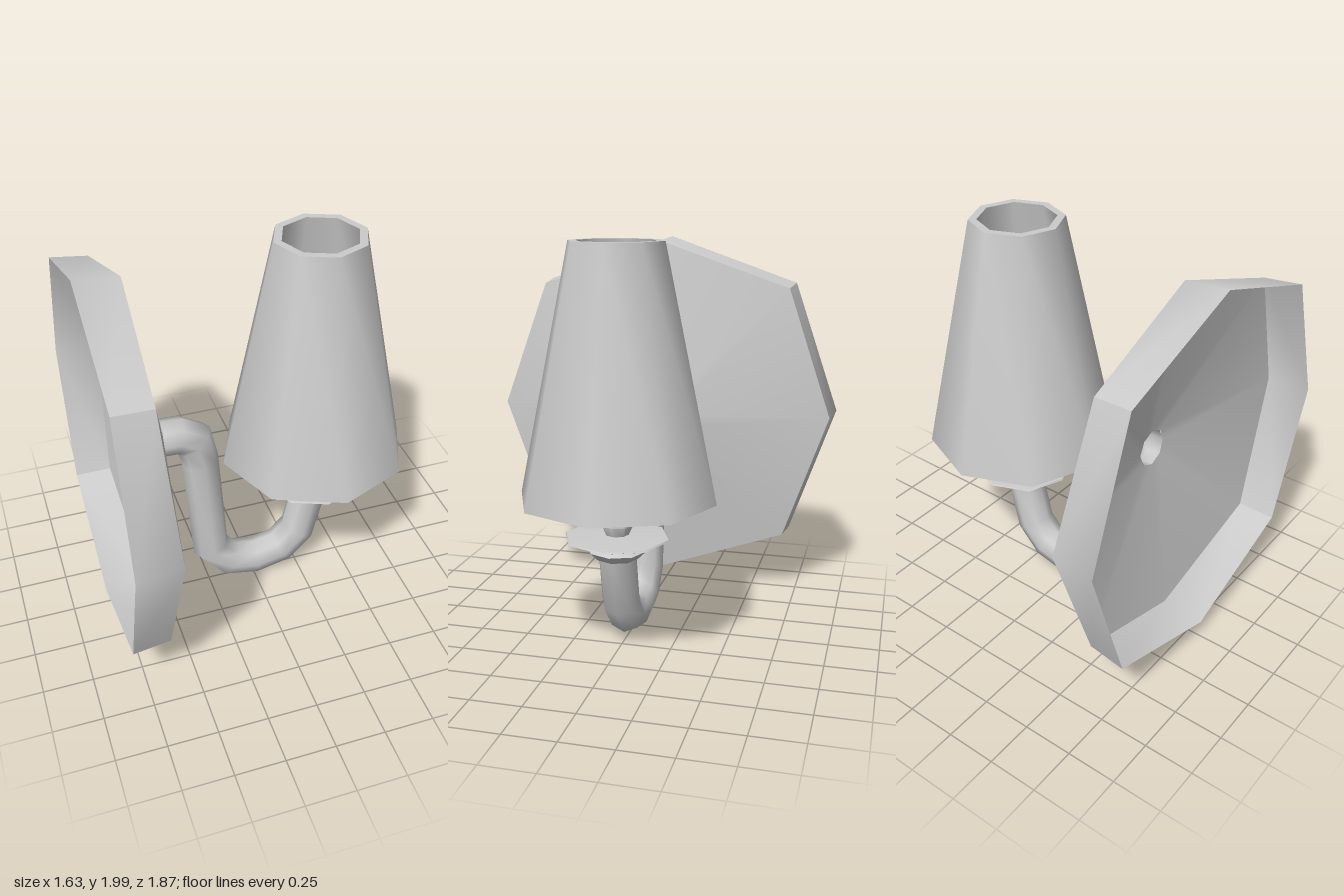
import * as THREE from 'three';
import { toCreasedNormals } from 'three/addons/utils/BufferGeometryUtils.js';

const SIDES = 8;
const LAMP_X = 0.33;
const material = new THREE.MeshStandardMaterial({ color: 0xcccccc, side: THREE.DoubleSide });

function part(name, geometry) {
  const mesh = new THREE.Mesh(geometry, material);
  mesh.name = name;
  return mesh;
}

function lathe(profile) {
  return new THREE.LatheGeometry(profile.map(([r, y]) => new THREE.Vector2(r, y)), SIDES);
}

// Turned part standing on the lamp axis
function turned(name, profile) {
  const mesh = part(name, toCreasedNormals(lathe(profile), 0.85));
  mesh.position.x = LAMP_X;
  return mesh;
}

// Hollow dished plate: side wall and shallow cone, open at the back and the centre
function wallPlate() {
  const geometry = lathe([[0.935, -0.82], [0.915, -0.6], [0.095, -0.475]]);
  const p = geometry.attributes.position;
  for (let i = 0; i < p.count; i++) {
    const x = p.getX(i), y = p.getY(i), z = p.getZ(i);
    // Diagonal corners reach a little farther out and sit farther back
    if (Math.abs(x) > 0.3 && Math.abs(z) > 0.3) {
      p.setXYZ(i, x * 1.05, y > -0.7 ? y - 0.03 : y, z * 1.05);
    }
  }
  geometry.rotateZ(-Math.PI / 2);
  const mesh = part('wallPlate', toCreasedNormals(geometry, 0.85));
  mesh.position.y = 1.035;
  return mesh;
}

// Bent pipe: one mitred ring at each path point, joined by quads
function arm() {
  const radius = 0.095;
  const path = [
    [-0.475, 1.035], [-0.385, 1.03], [-0.305, 0.985], [-0.275, 0.85], [-0.235, 0.255],
    [-0.135, 0.135], [0.01, 0.105], [0.16, 0.14], [0.26, 0.245], [0.325, 0.51],
  ].map(([x, y]) => new THREE.Vector2(x, y));
  const positions = [], index = [];
  path.forEach((point, i) => {
    const before = point.clone().sub(path[Math.max(i - 1, 0)]).normalize();
    const after = path[Math.min(i + 1, path.length - 1)].clone().sub(point).normalize();
    const tangent = before.clone().add(after).normalize();
    const along = after.length() > 0 ? after : before;
    const reach = radius / tangent.dot(along);
    for (let j = 0; j < SIDES; j++) {
      const a = (j / SIDES) * Math.PI * 2;
      const side = Math.cos(a) * reach;
      positions.push(point.x - tangent.y * side, point.y + tangent.x * side, Math.sin(a) * radius);
      if (i > 0) {
        const k = (j + 1) % SIDES, lo = (i - 1) * SIDES, hi = i * SIDES;
        index.push(lo + j, hi + j, lo + k, lo + k, hi + j, hi + k);
      }
    }
  });
  const geometry = new THREE.BufferGeometry();
  geometry.setAttribute('position', new THREE.Float32BufferAttribute(positions, 3));
  geometry.setIndex(index);
  geometry.computeVertexNormals();
  return part('arm', geometry);
}

export function createModel() {
  const model = new THREE.Group();
  model.name = 'wallLamp';
  model.add(
    wallPlate(),
    arm(),
    // Small cup and wide drip dish
    turned('dripDish', [
      [0, 0.495], [0.105, 0.495], [0.145, 0.535], [0.125, 0.55],
      [0.26, 0.595], [0.255, 0.602], [0.07, 0.612], [0, 0.612],
    ]),
    // Waisted socket with a flared, recessed top
    turned('socket', [
      [0.055, 0.605], [0.08, 0.66], [0.055, 0.785], [0.1, 0.88], [0.055, 0.83], [0, 0.83],
    ]),
    // Thick tapering shade, open at both ends
    turned('shade', [[0.41, 0.79], [0.483, 0.79], [0.23, 2], [0.19, 2], [0.41, 0.79]]),
  );
  return model;
}
